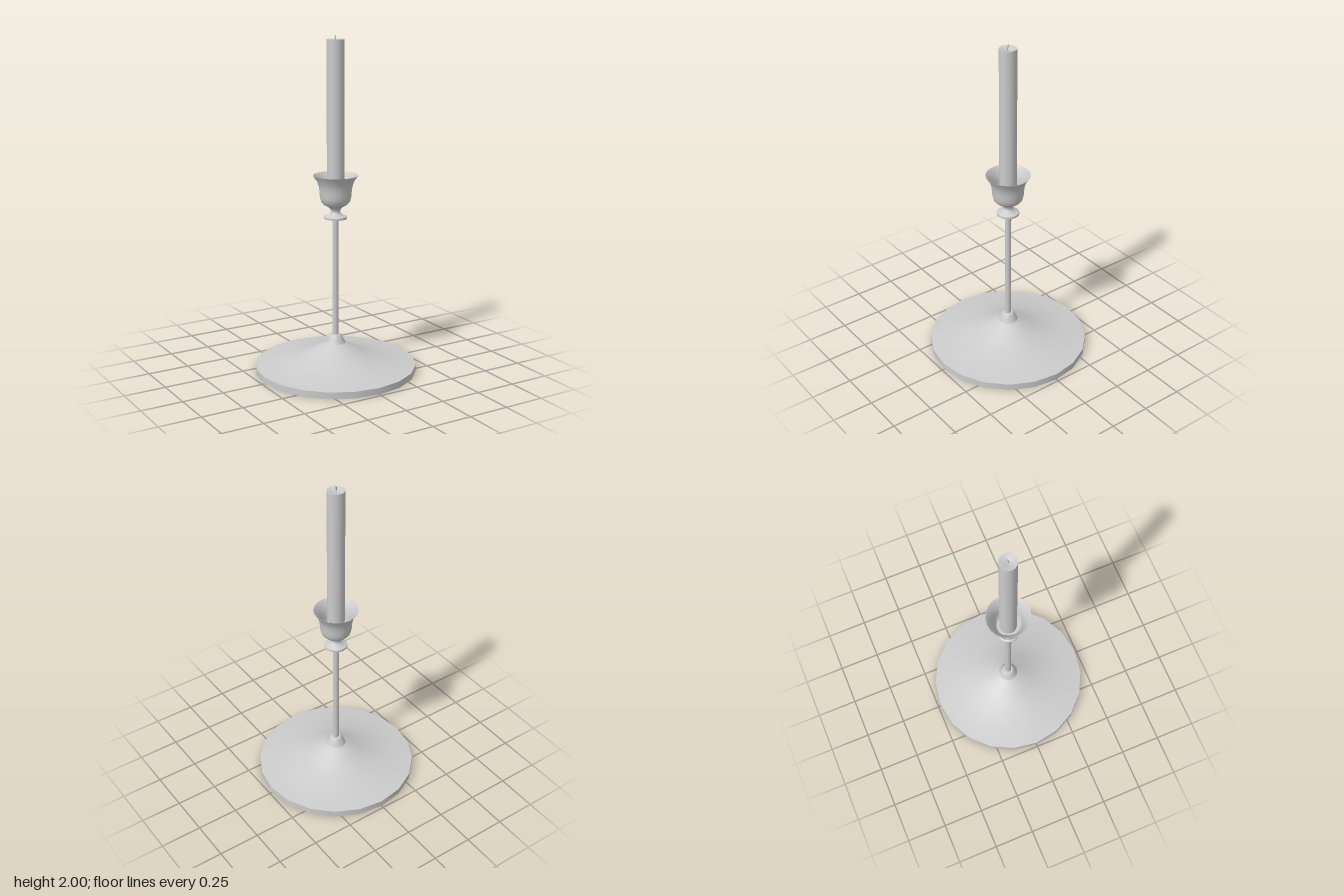
import * as THREE from 'three';

const metal = new THREE.MeshStandardMaterial({ color: 0xcccccc, side: THREE.DoubleSide });

// Revolves each profile run on its own, so edges between runs stay sharp.
function turned(name, sides, ...runs) {
  const group = new THREE.Group();
  group.name = name;
  runs.forEach((run, i) => {
    const points = run.map(([r, y]) => new THREE.Vector2(r, y));
    const mesh = new THREE.Mesh(new THREE.LatheGeometry(points, sides), metal);
    mesh.name = `${name}Surface${i + 1}`;
    group.add(mesh);
  });
  return group;
}

export function createModel() {
  const model = new THREE.Group();
  model.name = 'candlestick';

  // Broad foot: flat underside, rim, flared top and small shoulder
  model.add(turned('foot', 20,
    [[0, 0], [0.484, 0]],
    [[0.484, 0], [0.484, 0.04]],
    [[0.484, 0.04], [0.39, 0.05], [0.25, 0.077], [0.148, 0.122], [0.06, 0.17]],
    [[0.06, 0.17], [0.047, 0.195], [0.038, 0.216], [0.03, 0.222]],
    [[0.03, 0.222], [0, 0.222]]));

  // Slender rod
  model.add(turned('stem', 16, [[0.019, 0.2], [0.019, 0.95]]));

  // Collar under the cup, with a waisted neck
  model.add(turned('collar', 20,
    [[0, 0.933], [0.067, 0.933]],
    [[0.067, 0.933], [0.067, 0.945]],
    [[0.067, 0.945], [0.045, 0.954], [0.03, 0.966], [0.027, 0.98], [0.033, 0.993], [0.045, 1.005]]));

  // Flared cup: outside, then inside down to the floor
  model.add(turned('cup', 20,
    [[0.045, 1.005], [0.07, 1.018], [0.085, 1.035], [0.092, 1.06], [0.094, 1.09],
      [0.098, 1.12], [0.108, 1.155], [0.133, 1.192]],
    [[0.133, 1.192], [0.126, 1.19], [0.101, 1.155], [0.09, 1.12], [0.084, 1.09],
      [0.08, 1.06], [0.067, 1.045]],
    [[0.067, 1.045], [0, 1.045]]));

  // Candle with a slightly hollowed top
  model.add(turned('candle', 20,
    [[0.051, 1.045], [0.051, 1.977]],
    [[0.051, 1.977], [0.03, 1.973], [0.015, 1.966], [0, 1.963]]));

  // Bent wick
  const path = new THREE.CatmullRomCurve3([
    new THREE.Vector3(0, 1.955, 0),
    new THREE.Vector3(-0.003, 1.975, 0.003),
    new THREE.Vector3(-0.002, 1.988, 0),
    new THREE.Vector3(0.003, 1.999, -0.005),
  ]);
  const wick = new THREE.Mesh(new THREE.TubeGeometry(path, 8, 0.004, 6), metal);
  wick.name = 'wick';
  model.add(wick);

  return model;
}
